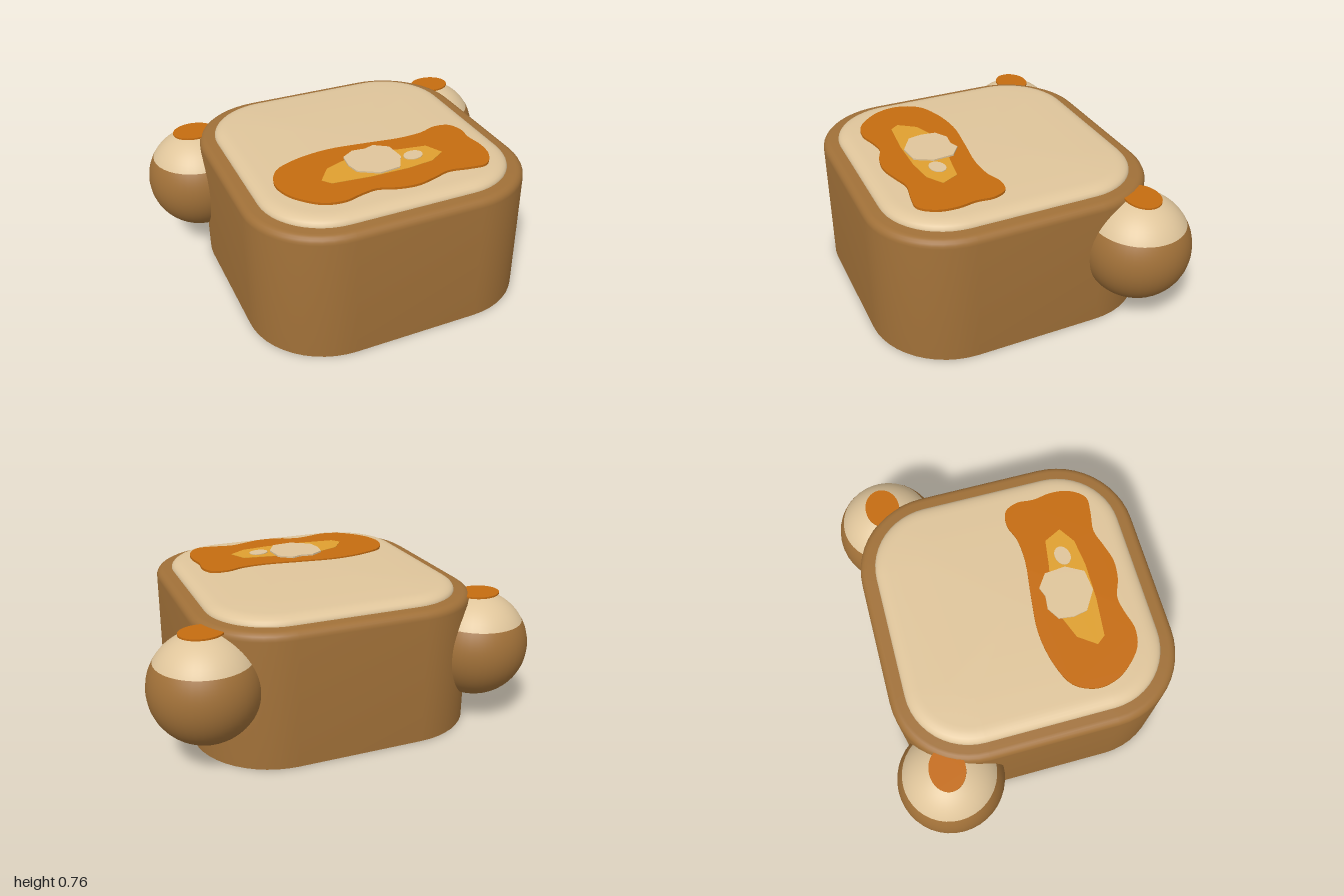
import * as THREE from 'three';
import { toCreasedNormals } from 'three/addons/utils/BufferGeometryUtils.js';

const material = (name, color) => {
  const m = new THREE.MeshStandardMaterial({ color });
  m.name = name;
  return m;
};

// Rounded-square solid lofted through [inset, y] rings; a null inset closes to the centre.
function loft(hx, hz, r, cz, rings) {
  const seg = 12, n = 4 * (seg + 1), pos = [], index = [];
  for (const [inset, y] of rings) {
    for (let q = 0; q < 4; q++) {
      const sx = q === 0 || q === 3 ? 1 : -1, sz = q < 2 ? 1 : -1;
      for (let i = 0; i <= seg; i++) {
        const a = (q + i / seg) * Math.PI / 2;
        const rad = Math.max(r - inset, 0.02);
        const x = sx * (hx - inset - rad) + Math.cos(a) * rad;
        const z = sz * (hz - inset - rad) + Math.sin(a) * rad;
        if (inset === null) pos.push(0, y, cz);
        else pos.push(x, y, cz + z);
      }
    }
  }
  for (let j = 0; j < rings.length - 1; j++) {
    for (let i = 0; i < n; i++) {
      const a = j * n + i, b = j * n + (i + 1) % n;
      if (rings[j][0] !== null) index.push(a, a + n, b);
      if (rings[j + 1][0] !== null) index.push(b, a + n, b + n);
      else if (rings[j][0] === null) continue;
    }
  }
  const g = new THREE.BufferGeometry();
  g.setAttribute('position', new THREE.Float32BufferAttribute(pos, 3));
  g.setIndex(index);
  return toCreasedNormals(g, 0.6);
}

// Flat plate lying in the xz plane, extruded downward from its top.
function plate(shape, depth) {
  const g = new THREE.ExtrudeGeometry(shape, { depth, bevelEnabled: false, curveSegments: 24 });
  return g.rotateX(Math.PI / 2);
}

const points = (list) => list.map(([x, z]) => new THREE.Vector2(x, z));

export function createModel() {
  const crust = material('crust brown', 0xa07038);
  const crumb = material('crumb cream', 0xdfc59b);
  const honey = material('honey orange', 0xc56c10);
  const shine = material('honey gold', 0xdfa030);

  const group = new THREE.Group();
  const add = (name, geometry, mat, x = 0, y = 0, z = 0) => {
    const mesh = new THREE.Mesh(geometry, mat);
    mesh.name = name;
    mesh.position.set(x, y, z);
    group.add(mesh);
    return mesh;
  };

  // Crust block with a softened top edge and a shallow recess below
  const bevel = [];
  for (let i = 0; i <= 5; i++) {
    const a = i / 5 * Math.PI / 2;
    bevel.push([0.04 * (1 - Math.cos(a)), 0.66 + 0.04 * Math.sin(a)]);
  }
  add('crustBody', loft(0.74, 0.738, 0.41, 0.035,
    [[null, 0.01], [0.06, 0.01], [0.06, 0], [0, 0], ...bevel, [null, 0.7]]), crust);

  // Cream slice on top, slightly domed
  const edge = [];
  for (let i = 0; i <= 6; i++) {
    const a = i / 6 * Math.PI / 2;
    edge.push([0.08 * (1 - Math.cos(a)), 0.7 + 0.04 * Math.sin(a)]);
  }
  add('crumbTop', loft(0.657, 0.657, 0.33, 0.035,
    [[0, 0.69], ...edge, [0.22, 0.746], [null, 0.748]]), crumb);

  // Cream underside
  add('crumbBase', loft(0.74, 0.738, 0.41, 0.035,
    [[null, 0.003], [0.062, 0.003], [0.062, 0.009], [null, 0.009]]), crumb);

  // Honey spread with a wavy outline
  const honeyShape = new THREE.Shape();
  const outline = points([
    [-0.55, 0.3], [-0.5, 0.19], [-0.38, 0.13], [-0.2, 0.1], [0, 0.118], [0.2, 0.143],
    [0.33, 0.135], [0.42, 0.105], [0.5, 0.12], [0.535, 0.19], [0.53, 0.28], [0.545, 0.38],
    [0.53, 0.48], [0.47, 0.555], [0.38, 0.552], [0.27, 0.535], [0.18, 0.56], [0.08, 0.585],
    [-0.02, 0.575], [-0.12, 0.54], [-0.2, 0.55], [-0.3, 0.575], [-0.4, 0.555], [-0.49, 0.475],
    [-0.535, 0.4]]);
  honeyShape.setFromPoints(new THREE.CatmullRomCurve3(
    outline.map((p) => new THREE.Vector3(p.x, p.y, 0)), true)
    .getPoints(100).slice(0, -1).map((p) => new THREE.Vector2(p.x, p.y)));
  add('honeySpread', plate(honeyShape, 0.012), honey, 0, 0.755);

  // Golden patch on the honey
  const goldShape = new THREE.Shape(points([
    [-0.335, 0.37], [-0.27, 0.28], [-0.15, 0.235], [0, 0.225], [0.15, 0.255], [0.28, 0.275],
    [0.325, 0.365], [0.24, 0.42], [0.1, 0.437], [-0.1, 0.435], [-0.3, 0.415]]));
  add('goldenPatch', plate(goldShape, 0.005), shine, 0, 0.757);

  // Butter pieces
  const butterShape = new THREE.Shape(points([
    [-0.155, 0.22], [-0.09, 0.18], [-0.02, 0.188], [0.03, 0.17], [0.1, 0.22], [0.11, 0.33],
    [0.06, 0.42], [-0.05, 0.432], [-0.15, 0.37], [-0.165, 0.3]]));
  add('butterLarge', plate(butterShape, 0.009), crumb, 0, 0.765);
  const dot = new THREE.Shape();
  dot.absellipse(0.175, 0.337, 0.053, 0.04, 0, Math.PI * 2, false, -0.2);
  add('butterSmall', plate(dot, 0.006), crumb, 0, 0.761);

  // Round ears: brown ball, cream cap, honey disc
  const split = Math.acos(0.14 / 0.275);
  const disc = new THREE.Shape();
  disc.absellipse(0, 0, 0.11, 0.09, 0, Math.PI * 2);
  for (const [side, s] of [['left', 1], ['right', -1]]) {
    const at = [s * 0.725, 0.41, -0.502];
    add(side + 'Ear', new THREE.SphereGeometry(0.275, 40, 24, 0, Math.PI * 2, split, Math.PI - split), crust, ...at);
    add(side + 'EarCap', new THREE.SphereGeometry(0.275, 40, 12, 0, Math.PI * 2, 0, split), crumb, ...at);
    add(side + 'EarDisc', plate(disc, 0.009), honey, s * 0.73, 0.688, -0.505);
  }
  return group;
}
